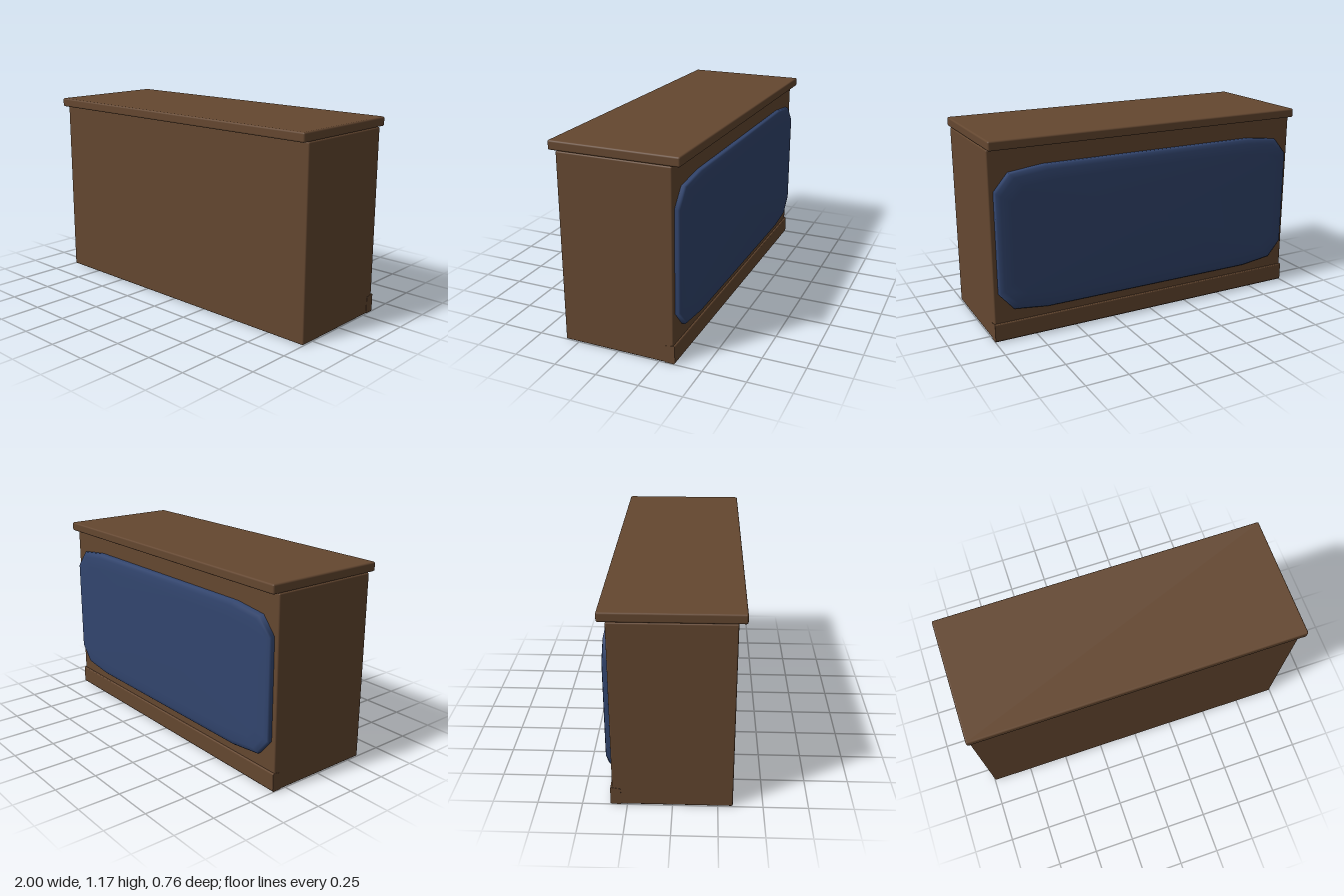
import * as THREE from 'three';
import { RoundedBoxGeometry } from 'three/addons/geometries/RoundedBoxGeometry.js';

// Outline of the pad with clipped corners, counter-clockwise seen from +z
function padOutline(hx, hy) {
  const corner = [[hx, hy - 0.125], [hx - 0.085, hy - 0.025], [hx - 0.29, hy]];
  const points = [];
  for (const [sx, sy] of [[1, 1], [-1, 1], [-1, -1], [1, -1]]) {
    const part = corner.map(([x, y]) => [x * sx, y * sy]);
    points.push(...(sx * sy > 0 ? part : part.reverse()));
  }
  return points;
}

// Soft pad lofted towards -z from shrinking outlines
function padGeometry(hx, hy) {
  const rings = [[0, -0.325], [0, -0.352], [0.008, -0.361], [0.03, -0.366], [0.09, -0.37]];
  const outline = padOutline(hx, hy);
  const n = outline.length;
  const positions = [];
  const index = [];
  for (const [inset, z] of rings) {
    for (const [x, y] of outline) {
      positions.push(x * (1 - inset / hx), y * (1 - inset / hy), z);
    }
  }
  const centre = positions.length / 3;
  positions.push(0, 0, -0.37);
  for (let j = 0; j < n; j++) {
    const k = (j + 1) % n;
    for (let i = 0; i < rings.length - 1; i++) {
      const a = i * n + j, b = i * n + k, c = a + n, d = b + n;
      index.push(a, c, b, b, c, d);
    }
    const last = (rings.length - 1) * n;
    index.push(centre, last + k, last + j);
  }
  const geometry = new THREE.BufferGeometry();
  geometry.setAttribute('position', new THREE.Float32BufferAttribute(positions, 3));
  geometry.setIndex(index);
  geometry.computeVertexNormals();
  return geometry;
}

export function createModel() {
  const model = new THREE.Group();
  model.name = 'counter';
  const wood = new THREE.MeshStandardMaterial({ color: 0x644730 });
  wood.name = 'brown wood';
  const fabric = new THREE.MeshStandardMaterial({ color: 0x32456e });
  fabric.name = 'navy padding';

  const add = (name, geometry, material, y = 0) => {
    const mesh = new THREE.Mesh(geometry, material);
    mesh.name = name;
    mesh.position.y = y;
    model.add(mesh);
    return mesh;
  };

  // Cabinet body and overhanging top
  add('body', new RoundedBoxGeometry(1.996, 1.113, 0.666, 2, 0.008), wood, 0.5565);
  add('top', new RoundedBoxGeometry(2, 0.054, 0.756, 2, 0.01), wood, 1.141);

  // Kick rail along the back, profile drawn as (-z, y)
  const rail = new THREE.Shape();
  rail.moveTo(0.285, 0.002);
  rail.lineTo(0.338, 0.002);
  rail.lineTo(0.343, 0.008);
  rail.lineTo(0.343, 0.104);
  rail.quadraticCurveTo(0.342, 0.111, 0.334, 0.111);
  rail.lineTo(0.29, 0.104);
  rail.lineTo(0.285, 0.098);
  rail.closePath();
  const railGeometry = new THREE.ExtrudeGeometry(rail, { depth: 2, bevelEnabled: false, curveSegments: 4 });
  railGeometry.translate(0, 0, -1);
  railGeometry.rotateY(Math.PI / 2);
  add('kickRail', railGeometry, wood);

  // Padded panel on the back
  add('backPad', padGeometry(0.97, 0.42), fabric, 0.585);

  return model;
}
